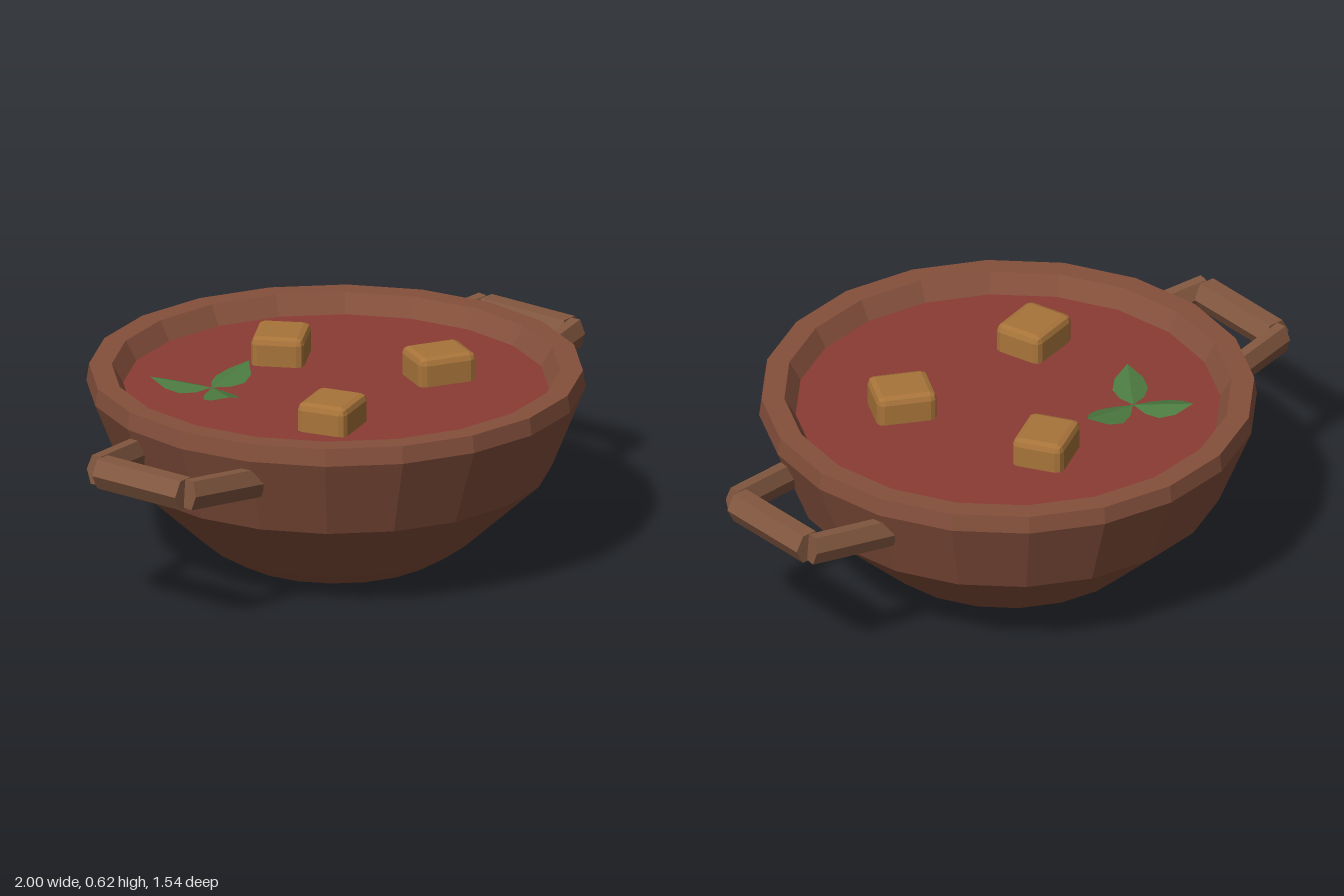
import * as THREE from 'three';
import { RoundedBoxGeometry } from 'three/addons/geometries/RoundedBoxGeometry.js';

const paint = (color, side = THREE.FrontSide) =>
  new THREE.MeshStandardMaterial({ color, flatShading: true, side });

const clay = paint(0x85503c);
const handleClay = paint(0x835840);
const soupRed = paint(0x8a3c34);
const toast = paint(0xa8743a);
const leafGreen = paint(0x4c7a40, THREE.DoubleSide);

const SIDES = 20;
const SOUP_Y = 0.53;

function add(parent, name, geometry, material) {
  const mesh = new THREE.Mesh(geometry, material);
  mesh.name = name;
  parent.add(mesh);
  return mesh;
}

// Six-sided bar between two points, with flat faces on top and bottom
function addBar(parent, name, from, to, width, height) {
  const a = new THREE.Vector3(...from);
  const b = new THREE.Vector3(...to);
  const geometry = new THREE.CylinderGeometry(1, 1, a.distanceTo(b), 6);
  geometry.rotateY(Math.PI / 2).rotateX(Math.PI / 2);
  geometry.scale(width / 2, height / Math.sqrt(3), 1);
  const bar = add(parent, name, geometry, handleClay);
  bar.position.copy(a).lerp(b, 0.5);
  bar.lookAt(b);
  return bar;
}

// Leaf along +x: creased along the midrib and curling up toward the tip
function leafGeometry(length, width) {
  const halfWidths = [0, 0.34, 0.5, 0.4, 0];
  const positions = [];
  const index = [];
  const last = halfWidths.length - 1;
  halfWidths.forEach((w, i) => {
    const t = i / last;
    const lift = 0.012 + 0.032 * t;
    const edge = lift - 0.035 * w;
    positions.push(t * length, edge, -w * width, t * length, lift, 0, t * length, edge, w * width);
    if (i === last) return;
    for (let j = 0; j < 2; j++) {
      const k = i * 3 + j;
      index.push(k, k + 1, k + 3, k + 1, k + 4, k + 3);
    }
  });
  const geometry = new THREE.BufferGeometry();
  geometry.setAttribute('position', new THREE.Float32BufferAttribute(positions, 3));
  geometry.setIndex(index);
  geometry.computeVertexNormals();
  return geometry;
}

export function createModel() {
  const model = new THREE.Group();
  model.name = 'soupBowl';

  // Bowl wall, rim and inner lip
  const profile = [
    [0, 0], [0.33, 0], [0.42, 0.055], [0.665, 0.28], [0.768, 0.535],
    [0.76, 0.59], [0.69, 0.59], [0.655, SOUP_Y], [0.65, SOUP_Y - 0.03],
  ].map(([r, y]) => new THREE.Vector2(r, y));
  add(model, 'bowl', new THREE.LatheGeometry(profile, SIDES), clay);

  // Soup surface
  const soup = add(model, 'soup', new THREE.CircleGeometry(0.656, SIDES), soupRed);
  soup.rotation.x = -Math.PI / 2;
  soup.position.y = SOUP_Y;

  // Handles: two arms and a grip on each side
  for (const s of [1, -1]) {
    const handle = new THREE.Group();
    handle.name = s > 0 ? 'leftHandle' : 'rightHandle';
    for (const z of [1, -1]) {
      addBar(handle, 'handleArm', [s * 0.67, 0.453, z * 0.228], [s * 0.957, 0.478, z * 0.182], 0.065, 0.092);
    }
    addBar(handle, 'handleGrip', [s * 0.949, 0.475, -0.163], [s * 0.949, 0.475, 0.163], 0.102, 0.094);
    model.add(handle);
  }

  // Croutons: x, z, turn in degrees
  for (const [x, z, turn] of [[0.1, -0.295, 30], [-0.295, 0.22, 15], [0.262, 0.195, -28]]) {
    const crouton = add(model, 'crouton', new RoundedBoxGeometry(0.19, 0.16, 0.165, 1, 0.022), toast);
    crouton.position.set(x, 0.54, z);
    crouton.rotation.y = THREE.MathUtils.degToRad(turn);
  }

  // Herb sprig: three leaves meeting at one point
  const sprig = new THREE.Group();
  sprig.name = 'herbSprig';
  sprig.position.set(-0.28, SOUP_Y, -0.265);
  for (const [dx, dz] of [[0.195, -0.01], [-0.11, -0.155], [-0.11, 0.155]]) {
    const leaf = add(sprig, 'leaf', leafGeometry(Math.hypot(dx, dz), 0.11), leafGreen);
    leaf.rotation.y = Math.atan2(-dz, dx);
  }
  model.add(sprig);

  return model;
}
